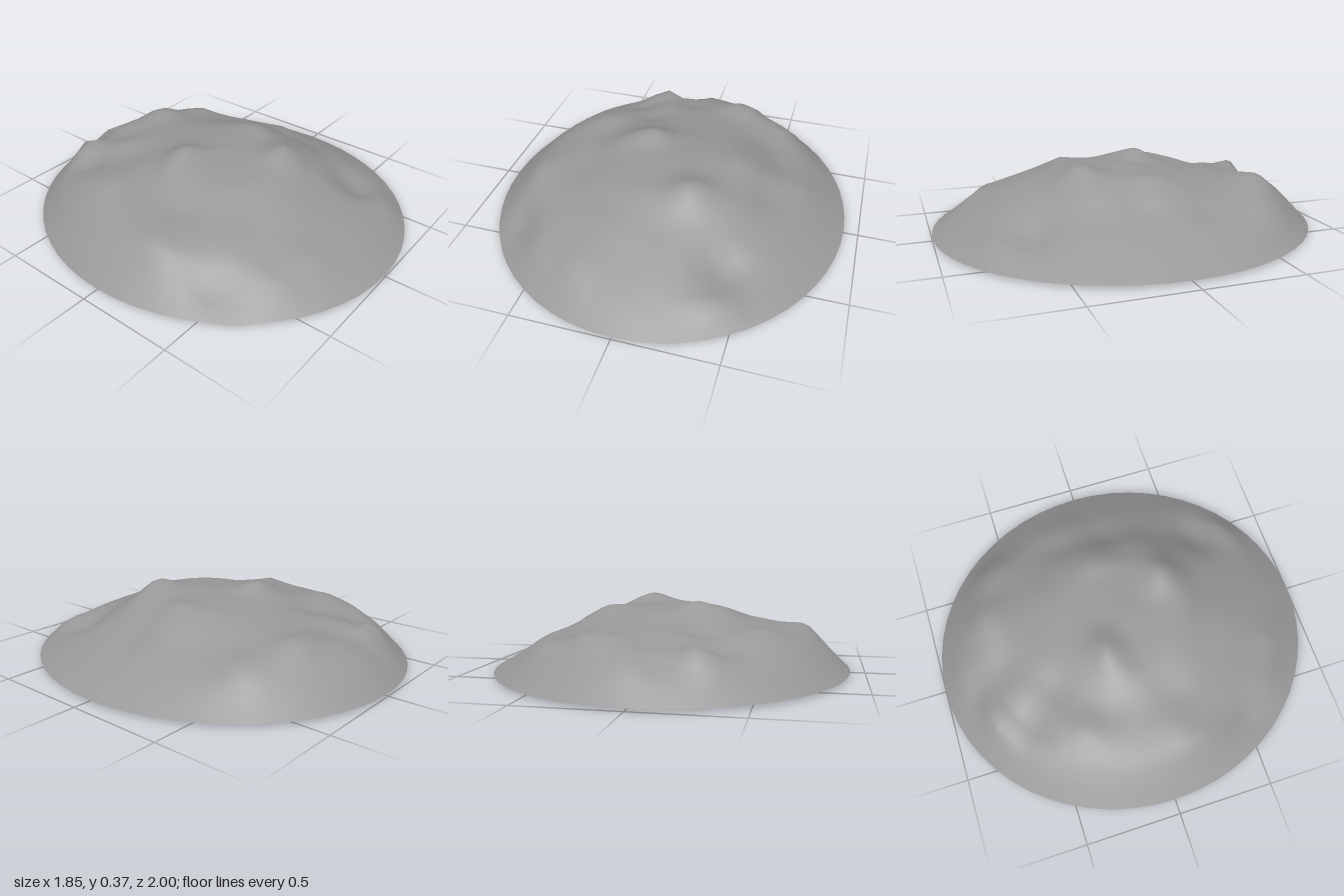
import * as THREE from 'three';

const RX = 0.925, RZ = 1.0, RIM = 0.013;
const RINGS = 24, SIDES = 56;

// Slope profiles (height at radius 0 .. 1) toward +x, +z, -x and -z
const RADII = [0, 0.2, 0.35, 0.5, 0.65, 0.78, 0.88, 1];
const PROFILES = [
  [0.325, 0.325, 0.315, 0.265, 0.18, 0.125, 0.075, RIM],
  [0.325, 0.325, 0.315, 0.245, 0.19, 0.135, 0.085, RIM],
  [0.325, 0.32, 0.295, 0.255, 0.23, 0.195, 0.12, RIM],
  [0.325, 0.31, 0.28, 0.26, 0.245, 0.205, 0.14, RIM],
];

// Knolls and hollows: x, z, height, spread in x, spread in z
const BUMPS = [
  // twin summits and the crests beside them
  [-0.15, -0.13, 0.05, 0.11, 0.09],
  [0.18, 0.29, 0.055, 0.12, 0.11],
  [0.02, 0.04, 0.008, 0.1, 0.1],
  [0.36, -0.04, 0.022, 0.08, 0.1],
  [-0.28, -0.08, 0.018, 0.08, 0.1],
  // front right gully and its outer knoll
  [0.42, 0.57, -0.055, 0.11, 0.1],
  [0.43, 0.79, 0.055, 0.08, 0.07],
  [0.36, 0.28, 0.015, 0.1, 0.09],
  // front left ridge, gully and shoulder
  [-0.12, 0.53, 0.012, 0.13, 0.1],
  [-0.28, 0.75, 0.025, 0.08, 0.1],
  [-0.5, 0.68, 0.025, 0.08, 0.07],
  [-0.67, 0.5, -0.06, 0.1, 0.09],
  [-0.69, 0.17, 0.03, 0.1, 0.09],
  [-0.43, 0.14, -0.015, 0.1, 0.09],
  // back left knolls with gullies between
  [-0.28, -0.77, 0.06, 0.07, 0.06],
  [-0.36, -0.6, -0.045, 0.1, 0.1],
  [-0.24, -0.44, -0.025, 0.1, 0.1],
  [-0.13, -0.84, -0.04, 0.06, 0.08],
  [-0.06, -0.66, -0.03, 0.1, 0.09],
  [0.02, -0.88, 0.015, 0.08, 0.06],
  [-0.51, -0.33, 0.025, 0.09, 0.09],
  // back right shoulder
  [0.26, -0.67, 0.055, 0.12, 0.09],
  [0.52, -0.59, 0.045, 0.12, 0.1],
  [0.4, -0.35, -0.015, 0.12, 0.1],
  // right flank
  [0.54, -0.22, -0.012, 0.09, 0.09],
  [0.66, -0.1, 0.022, 0.11, 0.08],
  [0.52, 0.08, -0.022, 0.08, 0.08],
];

function profileHeight(profile, r) {
  let i = 0;
  while (i < RADII.length - 2 && r > RADII[i + 1]) i++;
  const t = (r - RADII[i]) / (RADII[i + 1] - RADII[i]);
  return THREE.MathUtils.lerp(profile[i], profile[i + 1], t);
}

function height(r, angle, x, z) {
  // Blend the two nearest slopes
  const q = (angle / (Math.PI / 2)) % 4;
  const k = Math.floor(q);
  const t = THREE.MathUtils.smoothstep(q - k, 0, 1);
  let y = THREE.MathUtils.lerp(
    profileHeight(PROFILES[k], r), profileHeight(PROFILES[(k + 1) % 4], r), t);

  // Surface relief fades out at the rim
  const fade = Math.min(1, (1 - r) * 7);
  let relief = 0;
  for (const [bx, bz, h, sx, sz] of BUMPS) {
    relief += h * Math.exp(-(((x - bx) / sx) ** 2) - ((z - bz) / sz) ** 2);
  }
  y += relief * fade;

  // Small sag at the edge
  y -= 0.014 * Math.exp(-(((x + 0.7) / 0.08) ** 2) - ((z - 0.62) / 0.08) ** 2);
  return Math.max(0, y);
}

function moundGeometry() {
  const positions = [0, height(0, 0, 0, 0), 0];
  const index = [];
  for (let i = 1; i <= RINGS; i++) {
    const r = i / RINGS;
    for (let j = 0; j < SIDES; j++) {
      const a = (j / SIDES) * Math.PI * 2;
      const x = RX * r * Math.cos(a), z = RZ * r * Math.sin(a);
      positions.push(x, height(r, a, x, z), z);

      const next = (j + 1) % SIDES;
      const outer = 1 + (i - 1) * SIDES;
      if (i === 1) {
        index.push(0, outer + next, outer + j);
      } else {
        const inner = outer - SIDES;
        index.push(inner + j, inner + next, outer + j);
        index.push(inner + next, outer + next, outer + j);
      }
    }
  }
  const geometry = new THREE.BufferGeometry();
  geometry.setAttribute('position', new THREE.Float32BufferAttribute(positions, 3));
  geometry.setIndex(index);
  geometry.computeVertexNormals();
  return geometry;
}

export function createModel() {
  const group = new THREE.Group();
  group.name = 'rockyMound';
  // Open shell without a floor
  const material = new THREE.MeshStandardMaterial({ color: 0x999999, side: THREE.DoubleSide });
  const mound = new THREE.Mesh(moundGeometry(), material);
  mound.name = 'moundSurface';
  group.add(mound);
  return group;
}
